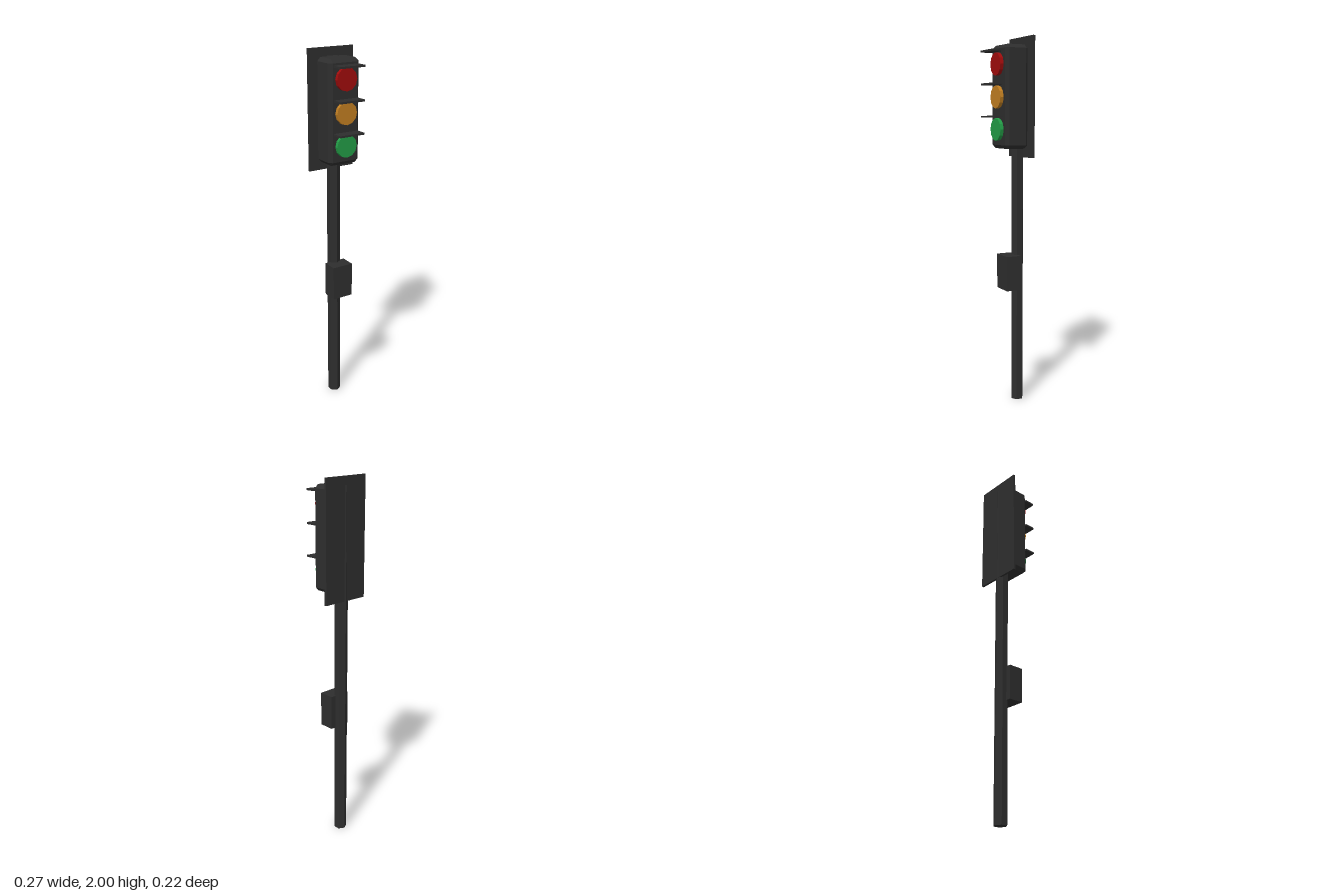
import * as THREE from 'three';
import { ConvexGeometry } from 'three/addons/geometries/ConvexGeometry.js';

function material(name, color) {
  const m = new THREE.MeshStandardMaterial({ color });
  m.name = name;
  return m;
}

// Box with every edge and corner cut by the same bevel
function bevelledBox(w, h, d, bevel) {
  const points = [];
  for (const sx of [-1, 1]) for (const sy of [-1, 1]) for (const sz of [-1, 1]) {
    for (let flush = 0; flush < 3; flush++) {
      const half = [w / 2, h / 2, d / 2].map((v, i) => (i === flush ? v : v - bevel));
      points.push(new THREE.Vector3(sx * half[0], sy * half[1], sz * half[2]));
    }
  }
  return new ConvexGeometry(points);
}

export function createModel() {
  const model = new THREE.Group();
  model.name = 'trafficLight';
  const dark = material('charcoal', 0x2e2e2e);
  const red = material('signalRed', 0xa00c0c);
  const amber = material('signalAmber', 0xc17e21);
  const green = material('signalGreen', 0x229c46);

  function add(name, geometry, mat, x, y, z) {
    // Unshared corners keep every facet flat
    const flat = geometry.index ? geometry.toNonIndexed() : geometry;
    flat.computeVertexNormals();
    const mesh = new THREE.Mesh(flat, mat);
    mesh.name = name;
    mesh.position.set(x, y, z);
    model.add(mesh);
    return mesh;
  }

  // Hexagonal pole, with an edge facing front and back
  add('pole', new THREE.CylinderGeometry(0.0355, 0.0355, 1.956, 6), dark, 0, 0.978, -0.0735);

  // Control box on the front of the pole
  add('controlBox', new THREE.BoxGeometry(0.12, 0.19, 0.085), dark, 0, 0.735, -0.0225);

  // Signal housing and the flat board behind it
  add('housing', bevelledBox(0.184, 0.543, 0.135, 0.019), dark, 0, 1.6845, -0.0275);
  add('backBoard', new THREE.BoxGeometry(0.27, 0.635, 0.012), dark, 0, 1.6825, -0.099);

  // Lamps with a flat visor over each
  const lamps = [['red', red, 1.856], ['amber', amber, 1.685], ['green', green, 1.515]];
  for (const [name, mat, y] of lamps) {
    const lens = new THREE.CylinderGeometry(0.06, 0.06, 0.03, 12).rotateX(Math.PI / 2);
    add(name + 'Lens', lens, mat, 0, y, 0.044);
    add(name + 'Visor', new THREE.BoxGeometry(0.146, 0.01, 0.061), dark, 0, y + 0.067, 0.0785);
  }
  return model;
}
